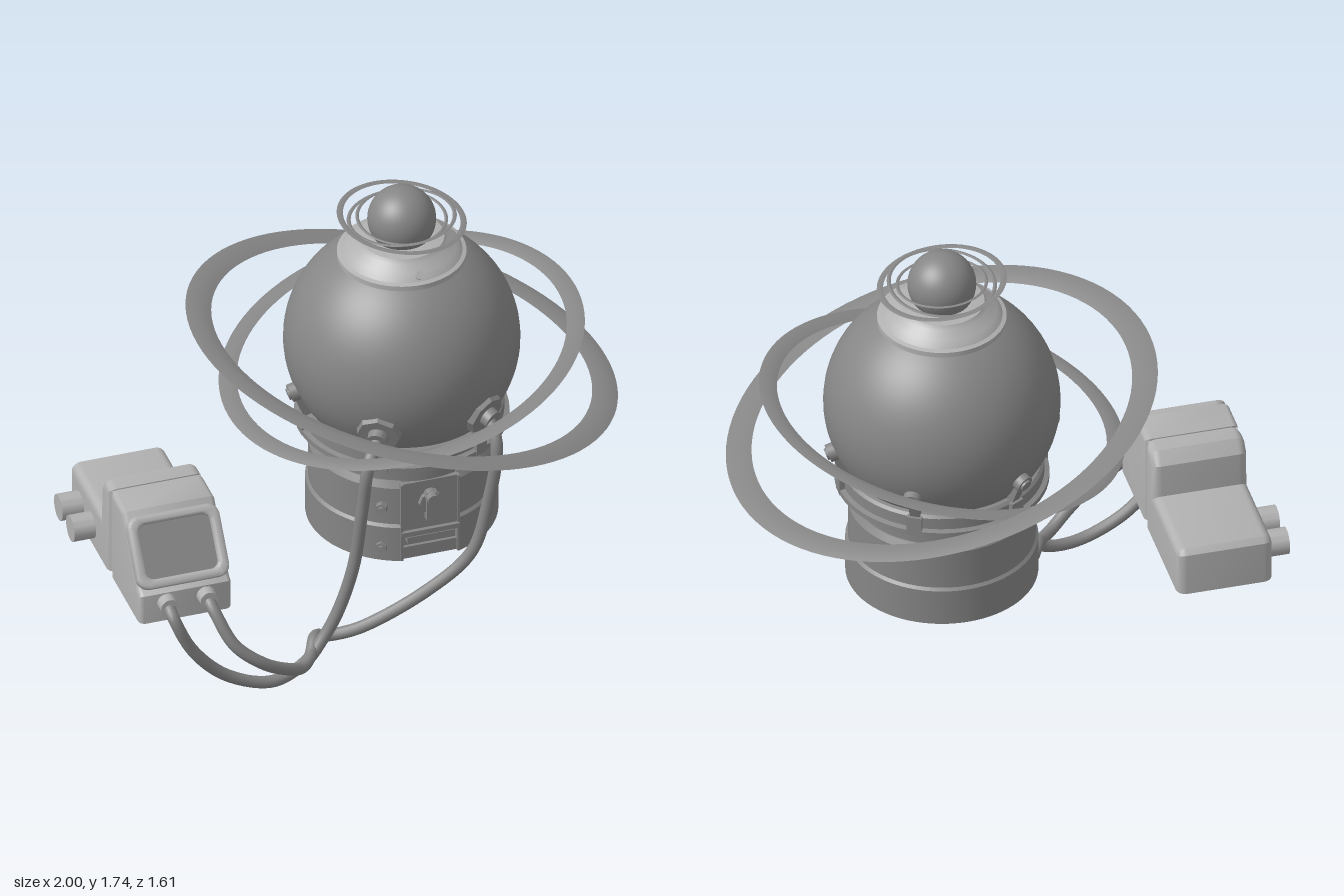
import * as THREE from 'three';
import { toCreasedNormals } from 'three/addons/utils/BufferGeometryUtils.js';

const dark = new THREE.MeshStandardMaterial({ color: 0x868686, side: THREE.DoubleSide });
const pale = new THREE.MeshStandardMaterial({ color: 0xb0b0b0, side: THREE.DoubleSide });

function add(parent, name, geo, x = 0, y = 0, z = 0, rx = 0, ry = 0, rz = 0) {
  const m = new THREE.Mesh(geo, dark);
  m.name = name;
  m.position.set(x, y, z);
  m.rotation.set(rx, ry, rz);
  parent.add(m);
  return m;
}

function lathe(pts, segs = 64, start = 0, len = Math.PI * 2) {
  const g = new THREE.LatheGeometry(pts.map(p => new THREE.Vector2(p[0], p[1])), segs, start, len);
  return toCreasedNormals(g, 0.5);
}

const cyl = (r0, r1, h, n = 20) => toCreasedNormals(new THREE.CylinderGeometry(r0, r1, h, n), 0.5);
const box = (w, h, d) => new THREE.BoxGeometry(w, h, d);

function roundRect(Path, w, h, r) {
  const p = new Path(), a = w / 2 - r, b = h / 2 - r;
  p.absarc(a, b, r, 0, Math.PI / 2);
  p.absarc(-a, b, r, Math.PI / 2, Math.PI);
  p.absarc(-a, -b, r, Math.PI, Math.PI * 1.5);
  p.absarc(a, -b, r, Math.PI * 1.5, Math.PI * 2);
  p.closePath();
  return p;
}

// Shell from a (z, y) side profile, rounded along its edges and open underneath
function openShell(profile, width, bevel, floor) {
  const shape = new THREE.Shape(profile.map(p => new THREE.Vector2(-p[0], p[1])));
  const g = new THREE.ExtrudeGeometry(shape, {
    depth: width - 2 * bevel, bevelEnabled: true, bevelSize: bevel,
    bevelThickness: bevel, bevelOffset: -bevel, bevelSegments: 5
  });
  g.translate(0, 0, bevel - width / 2);
  g.rotateY(Math.PI / 2);
  const p = g.attributes.position, out = [];
  for (let i = 0; i < p.count; i += 3) {
    const ys = [0, 1, 2].map(k => Math.max(p.getY(i + k), floor));
    if (Math.max(...ys) <= floor + 1e-4) continue;
    for (let k = 0; k < 3; k++) out.push(p.getX(i + k), ys[k], p.getZ(i + k));
  }
  const s = new THREE.BufferGeometry();
  s.setAttribute('position', new THREE.Float32BufferAttribute(out, 3));
  return toCreasedNormals(s, 0.5);
}

// Ring with a thin lens-like section
function lensRing(ri, ro, t) {
  const mid = (ri + ro) / 2;
  return lathe([[ri, 0], [mid, -t], [ro, 0], [mid, t], [ri, 0]], 96);
}

function makeGlobe() {
  const g = new THREE.Group();
  g.name = 'globeStand';
  g.position.x = 0.22;
  add(g, 'globe', new THREE.SphereGeometry(0.43, 64, 40), 0, 1.1, 0);

  // Stepped cap with the small ball and its thin rings
  add(g, 'cap', lathe([[0.2, 1.45], [0.235, 1.46], [0.235, 1.48], [0.22, 1.485], [0.2, 1.51],
    [0.165, 1.53], [0.155, 1.545], [0.12, 1.55], [0, 1.55]])).material = pale;
  add(g, 'capStud', cyl(0.016, 0.016, 0.02), 0, 1.502, 0.206, Math.PI / 2 - 0.7).material = pale;
  add(g, 'topBall', new THREE.SphereGeometry(0.125, 40, 28), 0, 1.62, 0);
  [[0.214, 0.237, 0.03, -0.1], [0.185, 0.2, -0.06, 0.04], [0.155, 0.168, 0.06, -0.03]].forEach(([a, b, rx, rz]) =>
    add(g, 'smallRing', lensRing(a, b, 0.0025), 0, 1.623, 0, rx, 0, rz));

  // Two large crossed rings
  add(g, 'outerRing', lensRing(0.71, 0.806, 0.011), 0, 1.038, 0, 0, 0, -0.252);
  add(g, 'innerRing', lensRing(0.61, 0.677, 0.008), 0, 1.036, 0, 0, 0, 0.212);

  // Clamp collar and neck
  add(g, 'collar', lathe([[0.31, 0.75], [0.375, 0.755], [0.39, 0.765], [0.39, 0.785], [0.372, 0.79],
    [0.372, 0.835], [0.362, 0.845], [0.33, 0.85]]));
  add(g, 'neck', lathe([[0.32, 0.67], [0.32, 0.73], [0.333, 0.735], [0.333, 0.755]]));

  // Hollow base with an opening at the front
  const gap = 0.33;
  add(g, 'base', lathe([[0.318, 0.35], [0.35, 0.35], [0.35, 0.495], [0.34, 0.505], [0.34, 0.66],
    [0.325, 0.685], [0.31, 0.685], [0.318, 0.35]], 64, gap, Math.PI * 2 - 2 * gap));
  for (const s of [-1, 1]) add(g, 'openingJamb', box(0.01, 0.33, 0.035), s * 0.108, 0.515, 0.315);
  add(g, 'latchPanel', box(0.22, 0.21, 0.02), 0, 0.575, 0.315);
  add(g, 'handleFrame', box(0.22, 0.02, 0.04), 0, 0.465, 0.32);
  add(g, 'lowerPanel', box(0.22, 0.05, 0.012), 0, 0.375, 0.315);
  add(g, 'handleBack', box(0.22, 0.12, 0.01), 0, 0.42, 0.3);
  add(g, 'handle', box(0.18, 0.025, 0.03), 0, 0.44, 0.325);
  add(g, 'latchPlate', cyl(0.045, 0.045, 0.03, 8), 0, 0.59, 0.328, Math.PI / 2);
  add(g, 'latchBar', box(0.04, 0.12, 0.035), 0, 0.58, 0.335);
  add(g, 'latchKnob', cyl(0.022, 0.026, 0.06), 0, 0.62, 0.345, Math.PI / 2);
  for (const y of [0.41, 0.58]) {
    add(g, 'bolt', cyl(0.022, 0.022, 0.03, 6), -0.175, y, 0.3, Math.PI / 2, 0, 0.5);
    add(g, 'boltHead', cyl(0.012, 0.012, 0.045, 12), -0.175, y, 0.303, Math.PI / 2, 0, 0.5);
  }

  // Six lugs round the globe; the front two are cable sockets
  for (let i = 0; i < 6; i++) {
    const lug = new THREE.Group(), tilt = Math.PI / 2 + 0.3;
    lug.name = i < 2 ? 'cableSocket' : 'lug';
    lug.rotation.y = (i * 60 - 30) * Math.PI / 180;
    g.add(lug);
    add(lug, 'strut', box(0.036, 0.11, 0.03), 0, 0.885, 0.38, 0.38);
    add(lug, 'clampTab', box(0.055, 0.08, 0.02), 0, 0.803, 0.38);
    if (i < 2) {
      add(lug, 'socketPlate', cyl(0.078, 0.088, 0.035, 8), 0, 0.945, 0.398, tilt);
      add(lug, 'socketCollar', cyl(0.036, 0.04, 0.06), 0, 0.942, 0.415, tilt);
    } else {
      add(lug, 'button', cyl(0.034, 0.034, 0.045), 0, 0.945, 0.405, tilt);
      add(lug, 'buttonCentre', cyl(0.022, 0.026, 0.055), 0, 0.944, 0.408, tilt);
    }
  }
  return g;
}

function makeControlBox() {
  const g = new THREE.Group();
  g.name = 'controlBox';
  g.position.x = -0.74;
  add(g, 'frontHousing', openShell([[0.08, 0.25], [0.08, 0.715], [0.222, 0.715], [0.396, 0.482],
    [0.42, 0.47], [0.42, 0.25]], 0.352, 0.025, 0.35));
  add(g, 'seam', box(0.335, 0.35, 0.05), 0, 0.53, 0.077);
  add(g, 'rearHousing', openShell([[-0.39, 0.25], [-0.39, 0.52], [-0.37, 0.54], [-0.04, 0.54],
    [-0.035, 0.67], [0.005, 0.715], [0.074, 0.715], [0.074, 0.25]], 0.357, 0.035, 0.35));

  // Sloping bezel round the sunken screen
  const bezel = roundRect(THREE.Shape, 0.35, 0.27, 0.045);
  bezel.holes.push(roundRect(THREE.Path, 0.275, 0.2, 0.03));
  const bg = new THREE.ExtrudeGeometry(bezel, {
    depth: 0.03, bevelSize: 0.012, bevelThickness: 0.012, bevelOffset: -0.012,
    bevelSegments: 3, curveSegments: 6
  });
  add(g, 'screenBezel', toCreasedNormals(bg.translate(0, 0, -0.042), 0.6), 0, 0.605, 0.34, -0.651);

  // Cable plugs and side tubes
  for (const s of [-1, 1]) {
    add(g, 'plug', cyl(0.033, 0.036, 0.05), s * 0.075, 0.43, 0.435, Math.PI / 2);
    add(g, 'sideTube', cyl(0.05, 0.05, 0.12, 28), -0.2, 0.43, -0.2 + s * 0.07, 0, 0, Math.PI / 2);
  }
  g.children.forEach(m => { m.material = pale; });
  add(g, 'screen', box(0.29, 0.22, 0.004), 0, 0.589, 0.319, -0.651);
  return g;
}

function makeCable(pts) {
  const curve = new THREE.CatmullRomCurve3(pts.map(p => new THREE.Vector3(...p)), false, 'centripetal');
  return new THREE.TubeGeometry(curve, 120, 0.023, 12);
}

export function createModel() {
  const root = new THREE.Group();
  root.name = 'ringedGlobeDevice';
  root.add(makeGlobe(), makeControlBox());

  // Two hanging cables from the control box to the globe sockets
  add(root, 'rightCable', makeCable([[-0.815, 0.43, 0.43], [-0.81, 0.4, 0.49], [-0.74, 0.25, 0.5],
    [-0.6, 0.1, 0.485], [-0.42, 0.025, 0.465], [-0.28, 0.055, 0.42], [-0.215, 0.12, 0.4],
    [-0.16, 0.22, 0.4], [-0.1, 0.42, 0.41], [-0.07, 0.68, 0.425], [-0.045, 0.87, 0.425],
    [0.015, 0.942, 0.36]]));
  add(root, 'leftCable', makeCable([[-0.665, 0.43, 0.43], [-0.655, 0.4, 0.48], [-0.6, 0.28, 0.55],
    [-0.5, 0.19, 0.568], [-0.4, 0.12, 0.535], [-0.32, 0.075, 0.485], [-0.27, 0.08, 0.43],
    [-0.235, 0.105, 0.365], [-0.205, 0.085, 0.32], [-0.17, 0.06, 0.298], [-0.05, 0.09, 0.33],
    [0.2, 0.24, 0.38], [0.35, 0.39, 0.41], [0.41, 0.6, 0.42], [0.44, 0.86, 0.43], [0.43, 0.942, 0.36]]));
  return root;
}
